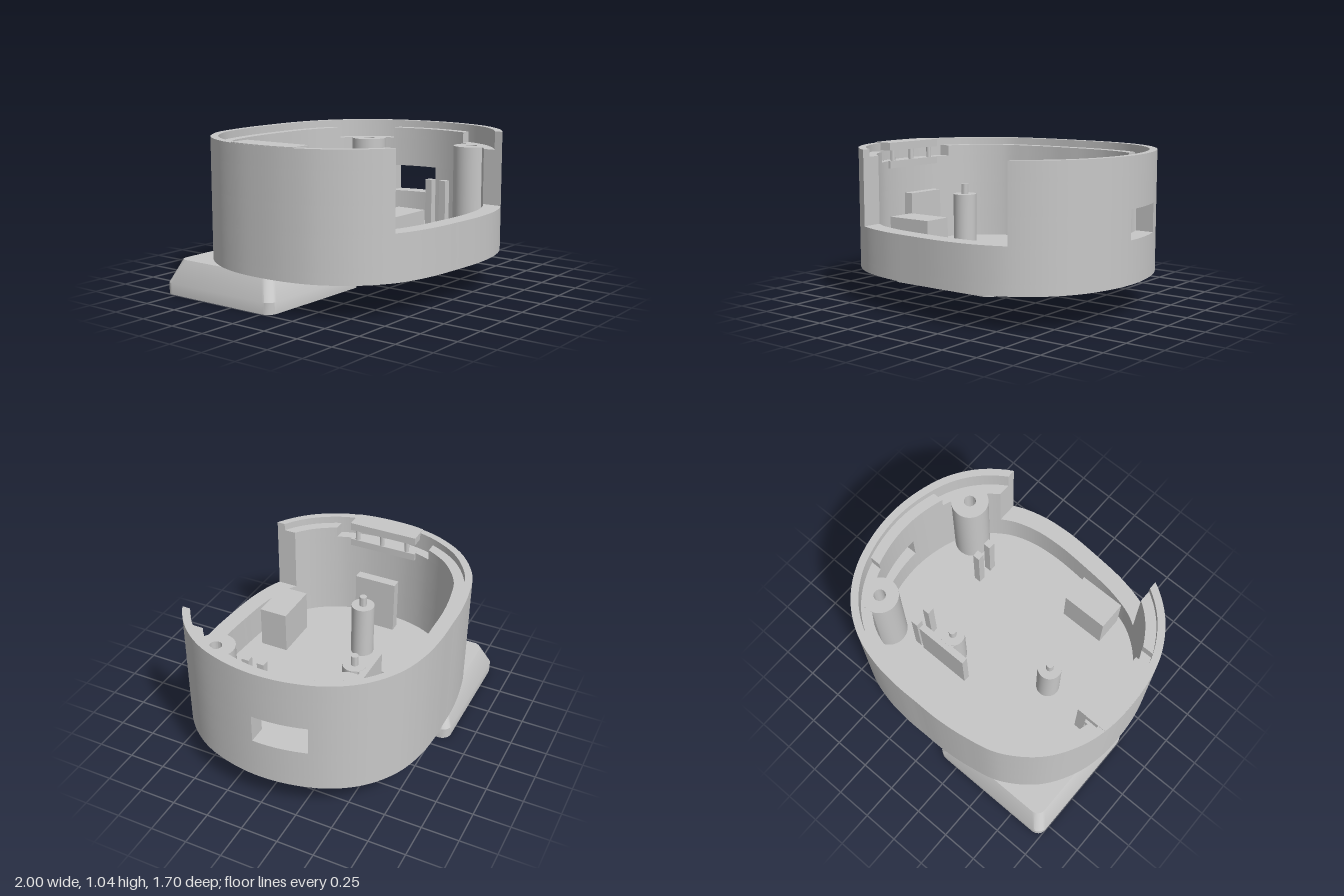
import * as THREE from 'three';
import { toCreasedNormals } from 'three/addons/utils/BufferGeometryUtils.js';

const BOTTOM = 0.228, FLOOR = 0.3, LEDGE = 0.91, RAISED = 0.985, RIM = 1.035;
const POSTS = [[0.71, -0.445], [0.71, 0.445]];

// Outline of the housing as (x, z) points
const OUTLINE = [[1, 0], [0.975, 0.22], [0.9, 0.44], [0.77, 0.62], [0.59, 0.755], [0.39, 0.824], [0.17, 0.847],
  [-0.1, 0.835], [-0.38, 0.803], [-0.61, 0.73], [-0.8, 0.585], [-0.93, 0.385], [-0.985, 0.19], [-1, -0.02],
  [-0.985, -0.21], [-0.925, -0.405], [-0.79, -0.61], [-0.57, -0.765], [-0.36, -0.82], [-0.15, -0.845],
  [0.02, -0.847], [0.19, -0.846], [0.39, -0.823], [0.59, -0.758], [0.77, -0.63], [0.9, -0.45], [0.975, -0.23]];

export function createModel() {
  const model = new THREE.Group();
  const grey = new THREE.MeshStandardMaterial({ color: 0xc8c8c8 });
  grey.name = 'grey plastic';

  const add = (name, geometry, x = 0, y = 0, z = 0) => {
    const mesh = new THREE.Mesh(toCreasedNormals(geometry, 0.5), grey);
    mesh.name = name;
    mesh.position.set(x, y, z);
    model.add(mesh);
  };
  const box = (name, x0, x1, y0, y1, z0, z1) => add(name,
    new THREE.BoxGeometry(x1 - x0, y1 - y0, z1 - z0), (x0 + x1) / 2, (y0 + y1) / 2, (z0 + z1) / 2);
  const rod = (name, r, x, y0, y1, z) => add(name,
    new THREE.CylinderGeometry(r, r, y1 - y0, 32), x, (y0 + y1) / 2, z);

  // Upright prism from (x, z) points, with optional holes wound the opposite way
  const toPoints = (pts, clockwise) => {
    const v = pts.map(([x, z]) => new THREE.Vector2(x, -z));
    return THREE.ShapeUtils.isClockWise(v) === clockwise ? v : v.reverse();
  };
  const prism = (name, pts, y0, y1, holes = []) => {
    const shape = new THREE.Shape(toPoints(pts, false));
    holes.forEach((h) => shape.holes.push(new THREE.Path(toPoints(h, true))));
    const g = new THREE.ExtrudeGeometry(shape, { depth: y1 - y0, bevelEnabled: false });
    add(name, g.rotateX(-Math.PI / 2), 0, y0, 0);
  };
  const circle = (cx, cz, r, n = 32) => Array.from({ length: n }, (_, i) => {
    const a = (i / n) * Math.PI * 2;
    return [cx + r * Math.cos(a), cz + r * Math.sin(a)];
  });

  // Outline moved inwards by d, kept clear of the screw holes
  const curve = new THREE.CatmullRomCurve3(OUTLINE.map(([x, z]) => new THREE.Vector3(x, 0, z)), true);
  const N = 300;
  const base = Array.from({ length: N }, (_, i) => ({ p: curve.getPoint(i / N), t: curve.getTangent(i / N) }));
  const offset = (d) => base.map(({ p, t }) => {
    let x = p.x - t.z * d, z = p.z + t.x * d;
    for (const [cx, cz] of POSTS) {
      const r = Math.hypot(x - cx, z - cz);
      if (r < 0.1) {
        x = cx + (x - cx) * 0.1 / r;
        z = cz + (z - cz) * 0.1 / r;
      }
    }
    return [x, z];
  });
  // Last point that still satisfies the test between an inner and an outer one
  const edge = (a, b, test) => {
    for (let i = 0; i < 14; i++) {
      const m = [(a[0] + b[0]) / 2, (a[1] + b[1]) / 2];
      if (test(...m)) a = m; else b = m;
    }
    return a;
  };
  // The one run of outline points that satisfies a test, with exact ends
  const arc = (d, test) => {
    const pts = offset(d), at = (i) => pts[(i + N) % N];
    let i = pts.findIndex((p, k) => test(...p) && !test(...at(k - 1)));
    const out = [edge(at(i), at(i - 1), test)];
    for (; test(...at(i)); i++) out.push(at(i));
    out.push(edge(at(i - 1), at(i), test));
    return out;
  };
  const wall = (name, d0, d1, y0, y1, test) =>
    prism(name, [...arc(d0, test), ...arc(d1, test).reverse()], y0, y1);

  // Housing shell, in layers around the front opening and the side window
  const notOpening = (x, z) => !(z > 0 && x > -0.615 && x < 0.588);
  const notWindow = (x, z) => !(x > 0 && z > -0.32 && z < 0.04);
  const afterWindow = (x, z) => x > 0.588 && z >= 0.04;
  prism('floor', offset(0), BOTTOM, FLOOR, POSTS.map(([x, z]) => circle(x, z, 0.075)));
  prism('lowerWall', offset(0), FLOOR, 0.51, [offset(0.12)]);
  wall('windowSill', 0, 0.12, 0.51, 0.53, notWindow);
  wall('frontWindowJamb', 0, 0.12, 0.53, 0.703, afterWindow);
  wall('middleWall', 0, 0.12, 0.53, 0.703, (x, z) => notOpening(x, z) && notWindow(x, z) && !afterWindow(x, z));
  wall('upperWall', 0, 0.12, 0.703, LEDGE, notOpening);
  wall('rim', 0, 0.05, LEDGE, RIM, notOpening);

  // Raised parts of the inner ledge
  wall('sideLedge', 0.05, 0.12, LEDGE, RAISED, (x, z) => x > 0.6 && Math.abs(z) < 0.305);
  wall('backLedge', 0.05, 0.12, LEDGE, RAISED, (x, z) => z < 0 && x < 0.585 && !(x < 0 && z > -0.36));
  wall('cornerLedge', 0.05, 0.12, LEDGE, RAISED, (x, z) => x < -0.615 && z > 0.35);

  // Bridge plate on small pins over a narrow shelf
  const bridge = arc(0.002, (x, z) => x < 0 && Math.abs(z) < 0.248);
  prism('bridgePlate', [...bridge, [-0.83, bridge.at(-1)[1]], [-0.83, bridge[0][1]]], 0.985, 1.04);
  box('bridgeShelf', -0.9, -0.832, 0.86, LEDGE + 0.001, -0.248, 0.248);
  for (const z of [-0.18, 0.01, 0.2]) rod('bridgePin', 0.017, -0.852, LEDGE, 0.985, z);

  // Hollow screw posts with a wide bore from below
  const postProfile = [[0.125, FLOOR], [0.125, LEDGE + 0.001], [0.04, LEDGE + 0.001],
    [0.04, 0.6], [0.075, 0.6], [0.075, FLOOR]].map(([r, y]) => new THREE.Vector2(r, y));
  for (const [x, z] of POSTS) add('screwPost', new THREE.LatheGeometry(postProfile, 40), x, 0, z);

  // Locating posts with pins
  for (const [x, z] of [[-0.403, -0.053], [0.234, -0.288]]) {
    rod('locatingPost', 0.08, x, FLOOR, 0.685, z);
    rod('locatingPin', 0.025, x, 0.685, 0.755, z);
  }

  // Supports standing on the floor
  box('supportWall', 0.053, 0.43, FLOOR, 0.683, -0.4, -0.355);
  box('supportNeck', 0.173, 0.297, FLOOR, 0.683, -0.36, -0.3);
  box('sideSlab', -0.788, -0.72, FLOOR, 0.683, -0.153, 0.15);
  box('frontBlock', -0.475, -0.153, FLOOR, 0.595, 0.428, 0.627);
  for (const z of [-0.371, -0.258, 0.256, 0.368])
    box('squarePeg', 0.455, 0.505, FLOOR, 0.683, z - 0.025, z + 0.025);

  // Hollow tapered key: rounded rectangles [y, half width, half depth, corner radius]
  const KX = -0.542, KZ = -0.39, SEG = 6;
  const loops = [[0.17, 0.001, 0.001, 0.0005], [0.17, 0.36, 0.36, 0.03], [0.07, 0.4, 0.402, 0.03],
    [0, 0.4, 0.402, 0.03], [0, 0.457, 0.46, 0.065], [0.075, 0.457, 0.46, 0.065],
    [BOTTOM, 0.388, 0.39, 0.06], [BOTTOM, 0.001, 0.001, 0.0005]];
  const pos = [], idx = [], M = 4 * (SEG + 1);
  loops.forEach(([y, w, d, r], k) => {
    for (let c = 0; c < 4; c++) for (let s = 0; s <= SEG; s++) {
      const a = (c + s / SEG) * Math.PI / 2;
      const sx = c === 0 || c === 3 ? 1 : -1, sz = c < 2 ? -1 : 1;
      pos.push(sx * (w - r) + r * Math.cos(a), y, sz * (d - r) - r * Math.sin(a));
    }
    if (k) for (let j = 0; j < M; j++) {
      const a = (k - 1) * M + j, b = (k - 1) * M + (j + 1) % M;
      idx.push(a, b, b + M, a, b + M, a + M);
    }
  });
  const key = new THREE.BufferGeometry();
  key.setAttribute('position', new THREE.Float32BufferAttribute(pos, 3));
  key.setIndex(idx);
  add('key', key, KX, 0, KZ);

  // Key stem with a toothed socket
  const socket = Array.from({ length: 32 }, (_, i) => {
    const a = ((i + 0.5) / 32) * Math.PI * 2, r = i % 4 < 2 ? 0.108 : 0.08;
    return [KX + r * Math.cos(a), KZ + r * Math.sin(a)];
  });
  prism('keyStem', circle(KX, KZ, 0.132, 40), 0.002, 0.172, [socket]);

  return model;
}
